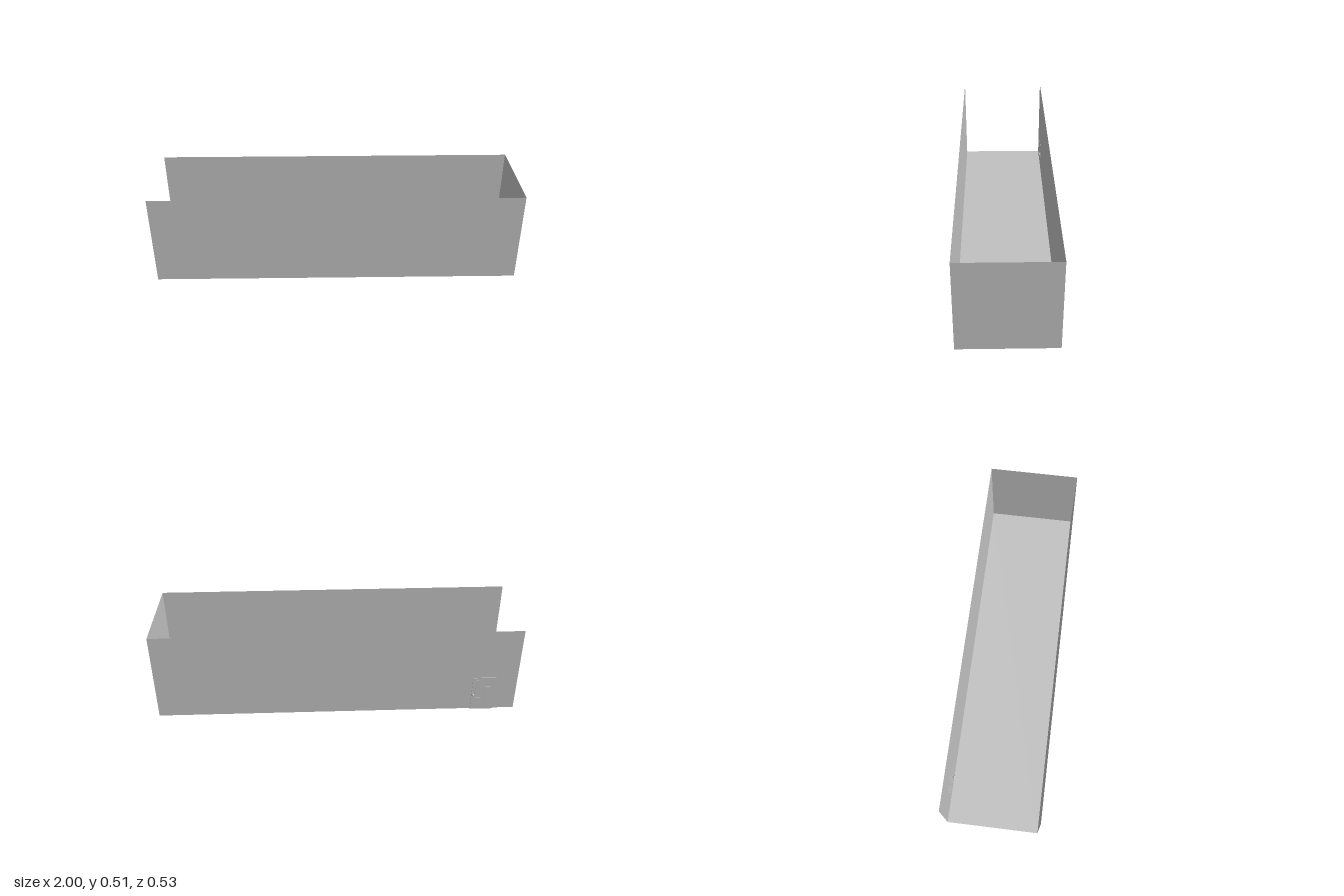
import * as THREE from 'three';

const grey = new THREE.MeshStandardMaterial({ color: 0xc0c0c0, side: THREE.DoubleSide });
grey.name = 'plain grey';

export function createModel() {
  const model = new THREE.Group();
  model.name = 'openHall';
  const add = (parent, name, geometry, x, y, z) => {
    const mesh = new THREE.Mesh(geometry, grey);
    mesh.name = name;
    mesh.position.set(x, y, z);
    parent.add(mesh);
    return mesh;
  };

  // Shell of single sheets: no roof, and open at the -x end
  const length = 2, y0 = 0.003, y1 = 0.51, zBack = -0.243, zFront = 0.265;
  const height = y1 - y0, depth = zFront - zBack;
  const yMid = (y0 + y1) / 2, zMid = (zFront + zBack) / 2;
  add(model, 'frontWall', new THREE.PlaneGeometry(length, height), 0, yMid, zFront);
  add(model, 'backWall', new THREE.PlaneGeometry(length, height).rotateY(Math.PI), 0, yMid, zBack);
  add(model, 'endWall', new THREE.PlaneGeometry(depth, height).rotateY(Math.PI / 2), 1, yMid, zMid);
  add(model, 'floor', new THREE.PlaneGeometry(length, depth).rotateX(-Math.PI / 2), 0, y0, zMid);

  // Door set in the back wall near the open end
  const door = new THREE.Group();
  door.name = 'door';
  door.position.set(-0.816, 0, -0.245);
  model.add(door);
  const w = 0.128, h = 0.212, t = 0.004;
  add(door, 'doorLeaf', new THREE.BoxGeometry(w, h, t), 0, h / 2, 0);

  // Panels and knobs on both faces of the door
  for (const side of [-1, 1]) {
    for (const x of [-0.027, 0.027]) {
      for (const [y, panelHeight] of [[0.048, 0.066], [0.125, 0.062], [0.184, 0.03]]) {
        add(door, 'doorPanel', new THREE.BoxGeometry(0.04, panelHeight, 0.001), x, y, side * 0.0025);
      }
    }
    const knob = new THREE.Group();
    knob.name = 'doorKnob';
    knob.position.set(0.058, 0.104, 0);
    door.add(knob);
    const disc = (r, d) => new THREE.CylinderGeometry(r, r, d, 20).rotateX(Math.PI / 2);
    add(knob, 'knobPlate', new THREE.BoxGeometry(0.009, 0.028, 0.0015), 0, 0, side * 0.0033);
    add(knob, 'knobStem', disc(0.002, 0.006), 0, 0, side * 0.006);
    add(knob, 'knobBall', new THREE.SphereGeometry(0.0068, 20, 14), 0, 0, side * 0.0118);
  }
  return model;
}
